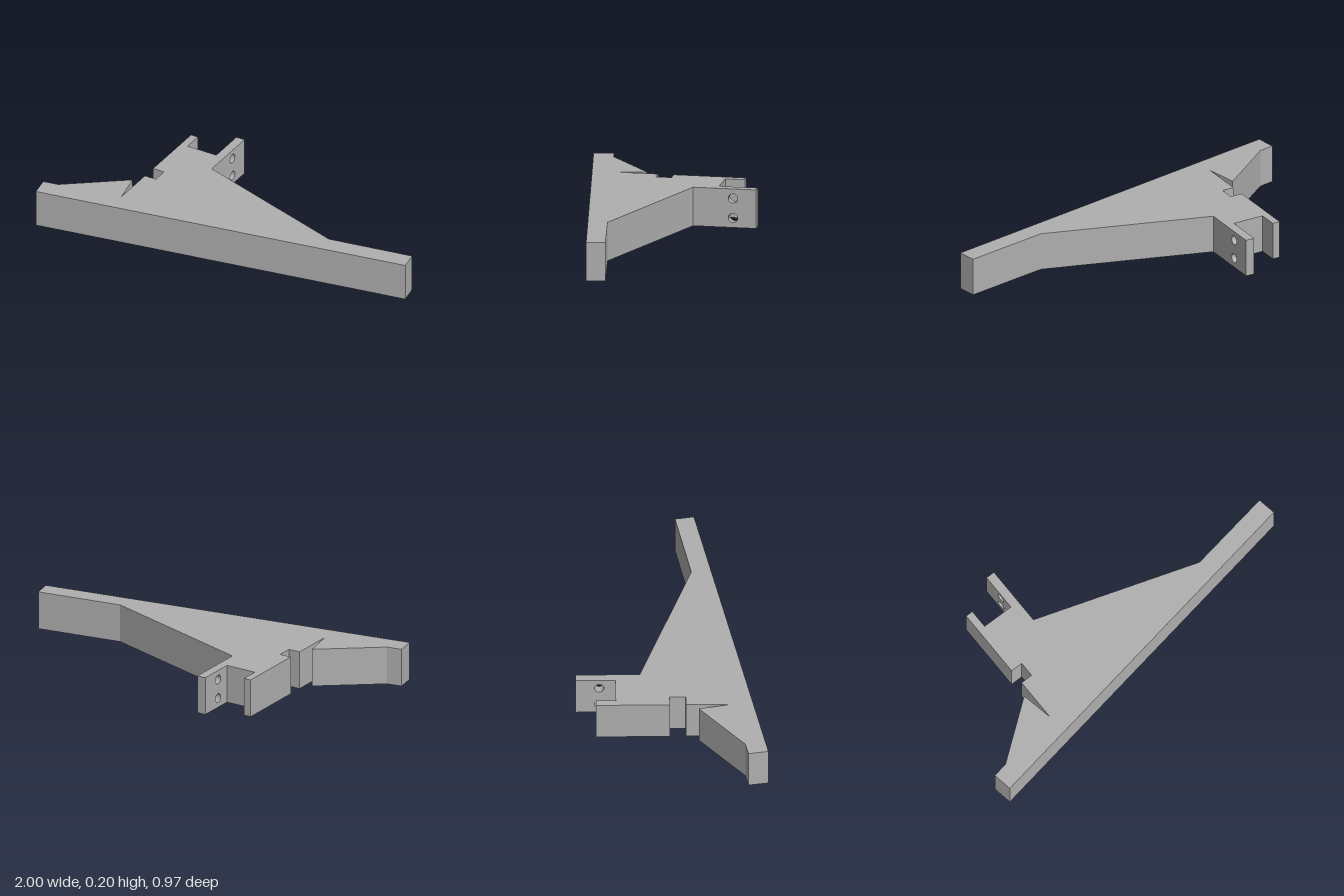
import * as THREE from 'three';

const HEIGHT = 0.202;

function polygon(points) {
  return new THREE.Shape(points.map(([x, y]) => new THREE.Vector2(x, y)));
}

export function createModel() {
  const model = new THREE.Group();
  model.name = 'bracket';
  const grey = new THREE.MeshStandardMaterial({ color: 0xb0b0b0 });
  grey.name = 'plain grey';

  // Slanted arm with notched block and short prong, outlined as (x, z)
  const outline = [
    [-0.983, 0.487], [1, 0.135], [0.983, 0.038], [0.535, 0.115],
    [-0.325, -0.16], [-0.325, -0.285], [-0.543, -0.285],
    [-0.543, -0.387], [-0.583, -0.387],
    [-0.583, -0.01], [-0.518, -0.01], [-0.518, 0.072], [-0.583, 0.072],
    [-0.583, 0.305], [-0.617, 0.137], [-0.92, 0.37], [-1, 0.385],
  ];
  const bodyGeometry = new THREE.ExtrudeGeometry(
    polygon(outline.map(([x, z]) => [x, -z])),
    { depth: HEIGHT, bevelEnabled: false },
  );
  bodyGeometry.rotateX(-Math.PI / 2);
  const body = new THREE.Mesh(bodyGeometry, grey);
  body.name = 'bracketBody';
  model.add(body);

  // Tall prong with two screw holes running through it sideways
  const plate = polygon([[0.285, 0], [0.487, 0], [0.487, HEIGHT], [0.285, HEIGHT]]);
  for (const y of [0.05, 0.152]) {
    const hole = new THREE.Path();
    hole.absarc(0.367, y, 0.024, 0, Math.PI * 2, true);
    plate.holes.push(hole);
  }
  const prongGeometry = new THREE.ExtrudeGeometry(plate, {
    depth: 0.048, bevelEnabled: false, curveSegments: 32,
  });
  prongGeometry.rotateY(Math.PI / 2);
  const prong = new THREE.Mesh(prongGeometry, grey);
  prong.name = 'drilledProng';
  prong.position.x = -0.373;
  model.add(prong);

  return model;
}
